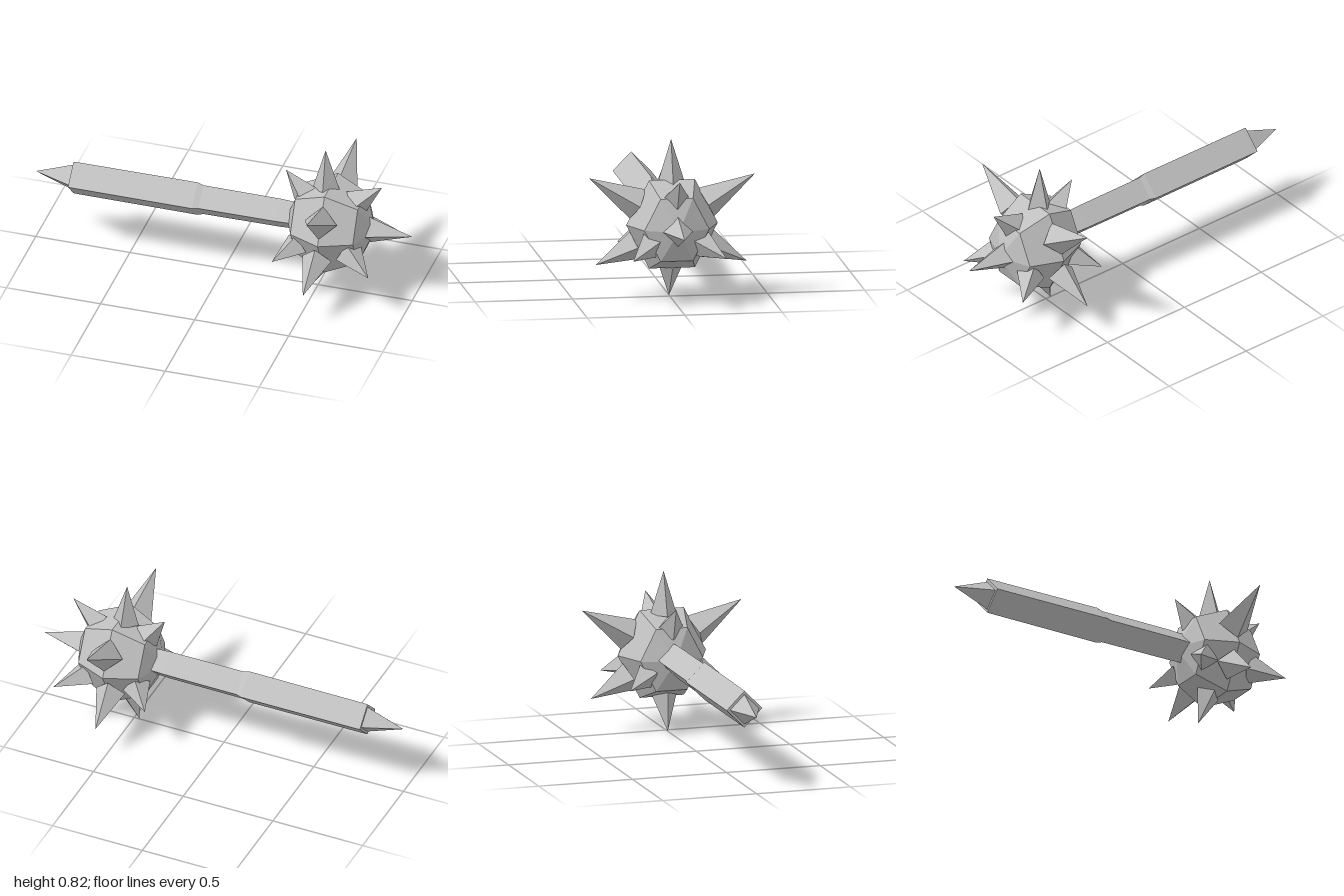
import * as THREE from 'three';

export function createModel() {
  const model = new THREE.Group();
  const steel = new THREE.MeshStandardMaterial({ color: 0xc0c0c0 });
  steel.name = 'steelGrey';
  steel.flatShading = true;

  const add = (name, geometry, parent = model) => {
    const mesh = new THREE.Mesh(geometry, steel);
    mesh.name = name;
    parent.add(mesh);
    return mesh;
  };

  // Four-sided shaft running along x: [x, radius]
  const shaft = (name, profile) => {
    const g = new THREE.LatheGeometry(profile.map(([x, r]) => new THREE.Vector2(r, x)), 4);
    add(name, g.rotateZ(-Math.PI / 2)).position.y = 0.396;
  };
  shaft('pommelSpike', [[-1, 0], [-0.8, 0.077], [-0.78, 0.077], [-0.78, 0]]);
  shaft('grip', [[-0.8, 0], [-0.8, 0.095], [-0.78, 0.096], [-0.14, 0.098], [-0.11, 0.087]]);
  shaft('neck', [[-0.11, 0.087], [0.3, 0.085], [0.4, 0.08], [0.4, 0]]);

  // Faceted ball with its poles on the shaft axis
  const ball = new THREE.SphereGeometry(0.235, 6, 4);
  ball.rotateY(Math.PI / 2).rotateZ(-Math.PI / 2).scale(1, 1.12, 1);
  add('ball', ball).position.set(0.57, 0.388, 0);

  // Four-sided spikes, each from a base centre to a tip
  const spikes = new THREE.Group();
  spikes.name = 'spikes';
  model.add(spikes);
  const spike = (name, base, tip, radius) => {
    const a = new THREE.Vector3(...base), b = new THREE.Vector3(...tip);
    const height = a.distanceTo(b);
    const dir = b.clone().sub(a).normalize();
    const side = new THREE.Vector3().crossVectors(dir, new THREE.Vector3(1, 0, 0));
    if (side.length() < 0.01) side.set(0, 0, 1);
    side.normalize();
    const other = new THREE.Vector3().crossVectors(side, dir);
    const g = new THREE.ConeGeometry(radius, height, 4).translate(0, height / 2, 0);
    g.applyMatrix4(new THREE.Matrix4().makeBasis(side, dir, other).setPosition(a));
    add(name, g, spikes);
  };

  spike('endSpike', [0.77, 0.386, 0], [1, 0.386, 0], 0.077);
  spike('topSpike', [0.545, 0.595, 0], [0.54, 0.82, 0], 0.07);
  spike('bottomSpike', [0.53, 0.18, 0], [0.47, 0, 0], 0.066);
  spike('outerTopSpike', [0.7, 0.535, 0], [0.84, 0.652, 0], 0.075);
  spike('innerTopSpike', [0.43, 0.54, 0], [0.33, 0.662, 0], 0.072);
  for (const s of [1, -1]) {
    const where = s > 0 ? 'front' : 'back';
    spike(where + 'UpperSpike', [0.57, 0.495, s * 0.175], [0.572, 0.636, s * 0.426], 0.085);
    spike(where + 'LowerSpike', [0.55, 0.28, s * 0.18], [0.54, 0.18, s * 0.388], 0.078);
    spike(where + 'OuterSpike', [0.7, 0.312, s * 0.125], [0.842, 0.252, s * 0.24], 0.075);
    spike(where + 'InnerSpike', [0.43, 0.312, s * 0.125], [0.33, 0.256, s * 0.245], 0.072);
  }
  return model;
}
